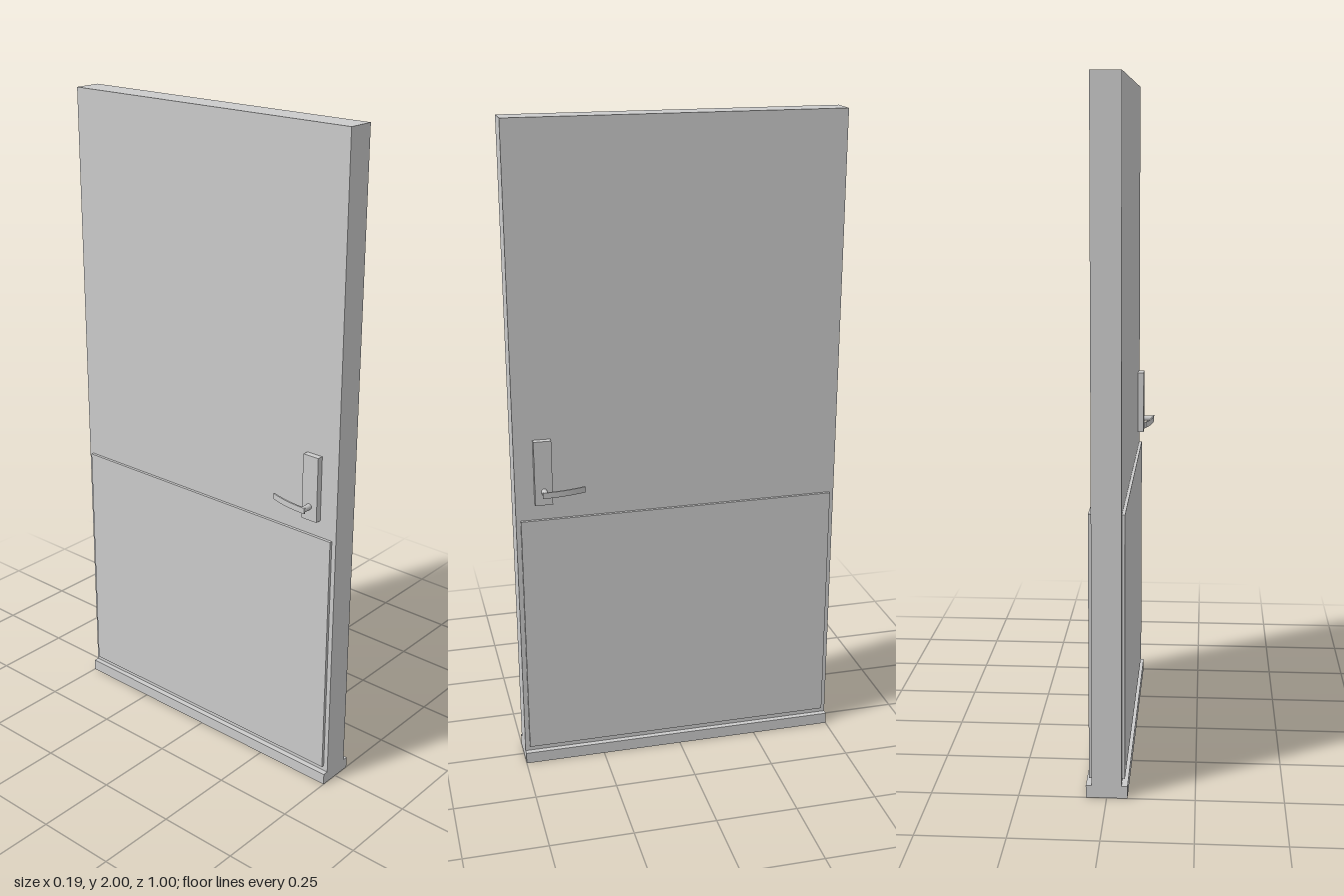
import * as THREE from 'three';

const material = new THREE.MeshStandardMaterial({ color: 0xcccccc });

function add(parent, name, geometry, x, y, z) {
  const mesh = new THREE.Mesh(geometry, material);
  mesh.name = name;
  mesh.position.set(x, y, z);
  parent.add(mesh);
  return mesh;
}

// Thin curved grip: an arc band in plan, extruded upward
function leverGeometry(side, height) {
  const band = (x0, x1, x2) => new THREE.QuadraticBezierCurve(
    new THREE.Vector2(side * x0, -0.424),
    new THREE.Vector2(side * x1, -0.352),
    new THREE.Vector2(side * x2, -0.294)).getPoints(16);
  const outline = [...band(0.095, 0.094, 0.0725), ...band(0.09, 0.089, 0.0675).reverse()];
  const geometry = new THREE.ExtrudeGeometry(new THREE.Shape(outline), { depth: height, bevelEnabled: false });
  geometry.rotateX(-Math.PI / 2);
  return geometry;
}

export function createModel() {
  const door = new THREE.Group();
  door.name = 'door';

  // Leaf and the wider strip along its foot
  add(door, 'doorLeaf', new THREE.BoxGeometry(0.084, 2, 1), 0, 1, 0);
  add(door, 'bottomStrip', new THREE.BoxGeometry(0.118, 0.036, 1), 0, 0.018, 0);

  // Kick plate and handle on both faces
  for (const side of [1, -1]) {
    const face = new THREE.Group();
    face.name = side > 0 ? 'leftFittings' : 'rightFittings';
    door.add(face);

    add(face, 'kickPlate', new THREE.BoxGeometry(0.01, 0.77, 0.972), side * 0.046, 0.438, 0);
    add(face, 'handlePlate', new THREE.BoxGeometry(0.021, 0.2, 0.053), side * 0.0505, 0.975, 0.416);

    const spindle = new THREE.CylinderGeometry(0.009, 0.009, 0.035, 24).rotateZ(Math.PI / 2);
    add(face, 'handleSpindle', spindle, side * 0.0755, 0.918, 0.415);
    add(face, 'handleLever', leverGeometry(side, 0.018), 0, 0.909, 0);
  }
  return door;
}
